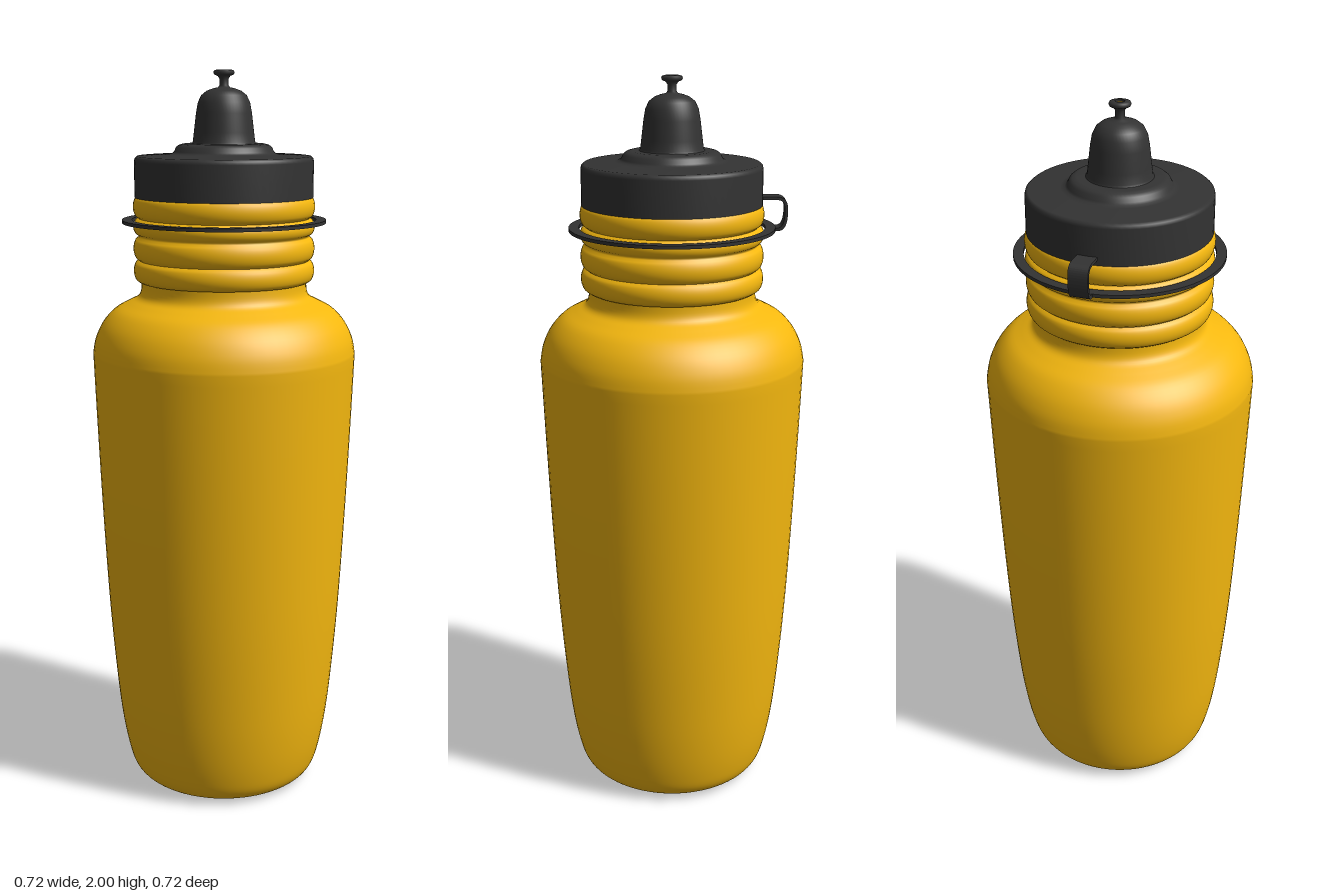
import * as THREE from 'three';

const yellow = new THREE.MeshStandardMaterial({ color: 0xf5b80f, side: THREE.DoubleSide });
const dark = new THREE.MeshStandardMaterial({ color: 0x333333, side: THREE.DoubleSide });

// Revolve [radius, height] pairs; a repeated pair makes a sharp edge.
function lathe(name, pairs, material, segments = 72) {
  const points = pairs.map(([r, y]) => new THREE.Vector2(r, y));
  const mesh = new THREE.Mesh(new THREE.LatheGeometry(points, segments), material);
  mesh.name = name;
  return mesh;
}

// Smooth run of profile points through a few control pairs.
function smooth(pairs, count) {
  const curve = new THREE.SplineCurve(pairs.map(([r, y]) => new THREE.Vector2(r, y)));
  return curve.getPoints(count).map((p) => [p.x, p.y]);
}

export function createModel() {
  const group = new THREE.Group();
  group.name = 'sportsBottle';

  // Bottle wall: rounded base, tapering side, round shoulder, pinched neck
  const bottle = [[0, 0.008], [0.1, 0.004], ...smooth([
    [0.19, 0], [0.235, 0.01], [0.263, 0.035], [0.28, 0.085], [0.296, 0.17], [0.31, 0.29],
    [0.327, 0.5], [0.34, 0.74], [0.351, 1.0], [0.36, 1.25],
  ], 50), ...smooth([
    [0.36, 1.25], [0.352, 1.29], [0.332, 1.332], [0.3, 1.367], [0.262, 1.388],
    [0.236, 1.402], [0.226, 1.42], [0.224, 1.447],
  ], 28).slice(1)];
  group.add(lathe('bottleBody', bottle, yellow));

  // Threaded neck: stacked rounded ribs with narrow grooves
  const neck = [[0.222, 1.445]];
  for (const [low, high] of [[1.445, 1.503], [1.503, 1.565], [1.57, 1.615], [1.615, 1.675]]) {
    for (let i = 0; i <= 10; i++) {
      const t = i / 10;
      neck.push([0.231 + 0.014 * Math.sqrt(Math.sin(Math.PI * Math.min(1, t))  + 1e-9), low + (high - low) * t]);
    }
  }
  neck.push([0.2, 1.675]);
  group.add(lathe('neckRibs', neck, yellow));

  // Screw cap with a raised step
  group.add(lathe('cap', [
    [0, 1.67], [0.24, 1.67], [0.24, 1.67], [0.24, 1.765], [0.238, 1.773], [0.232, 1.778],
    [0.15, 1.782], [0.138, 1.785], [0.133, 1.79], [0.128, 1.801], [0.12, 1.807], [0.108, 1.81], [0, 1.812],
  ], dark));

  // Domed nozzle with a flared, hollow tip
  group.add(lathe('nozzle', [
    [0.088, 1.808], [0.083, 1.815], [0.08, 1.84], [0.074, 1.89], [0.069, 1.917], [0.06, 1.935],
    [0.046, 1.946], [0.03, 1.952], [0.016, 1.955], [0.012, 1.96], [0.012, 1.977],
    [0.017, 1.984], [0.026, 1.988], [0.028, 1.993], [0.026, 1.998], [0.02, 2.0],
    [0.012, 2.0], [0.012, 2.0], [0.012, 1.99],
  ], dark, 48));
  const spout = new THREE.Mesh(new THREE.CircleGeometry(0.0125, 24), yellow);
  spout.name = 'spoutOpening';
  spout.rotation.x = -Math.PI / 2;
  spout.position.y = 1.994;
  group.add(spout);

  // Flat retaining ring around the neck
  group.add(lathe('retainingRing', [
    [0.248, 1.602], [0.275, 1.602], [0.275, 1.602], [0.275, 1.611], [0.275, 1.611],
    [0.248, 1.611], [0.248, 1.611], [0.248, 1.602],
  ], dark));

  // Strap looping from the ring up to the back of the cap, drawn in (depth, height)
  const strapShape = new THREE.Shape();
  strapShape.moveTo(0.235, 1.692);
  strapShape.lineTo(0.275, 1.692);
  strapShape.bezierCurveTo(0.298, 1.692, 0.306, 1.68, 0.306, 1.655);
  strapShape.bezierCurveTo(0.306, 1.62, 0.298, 1.602, 0.28, 1.602);
  strapShape.lineTo(0.255, 1.602);
  strapShape.lineTo(0.255, 1.61);
  strapShape.lineTo(0.278, 1.61);
  strapShape.bezierCurveTo(0.292, 1.61, 0.298, 1.625, 0.298, 1.655);
  strapShape.bezierCurveTo(0.298, 1.675, 0.292, 1.684, 0.275, 1.684);
  strapShape.lineTo(0.235, 1.684);
  const strapGeometry = new THREE.ExtrudeGeometry(strapShape, { depth: 0.052, bevelEnabled: false, curveSegments: 10 });
  strapGeometry.translate(0, 0, -0.026);
  strapGeometry.rotateY(Math.PI / 2);
  const strap = new THREE.Mesh(strapGeometry, dark);
  strap.name = 'strap';
  group.add(strap);

  return group;
}
